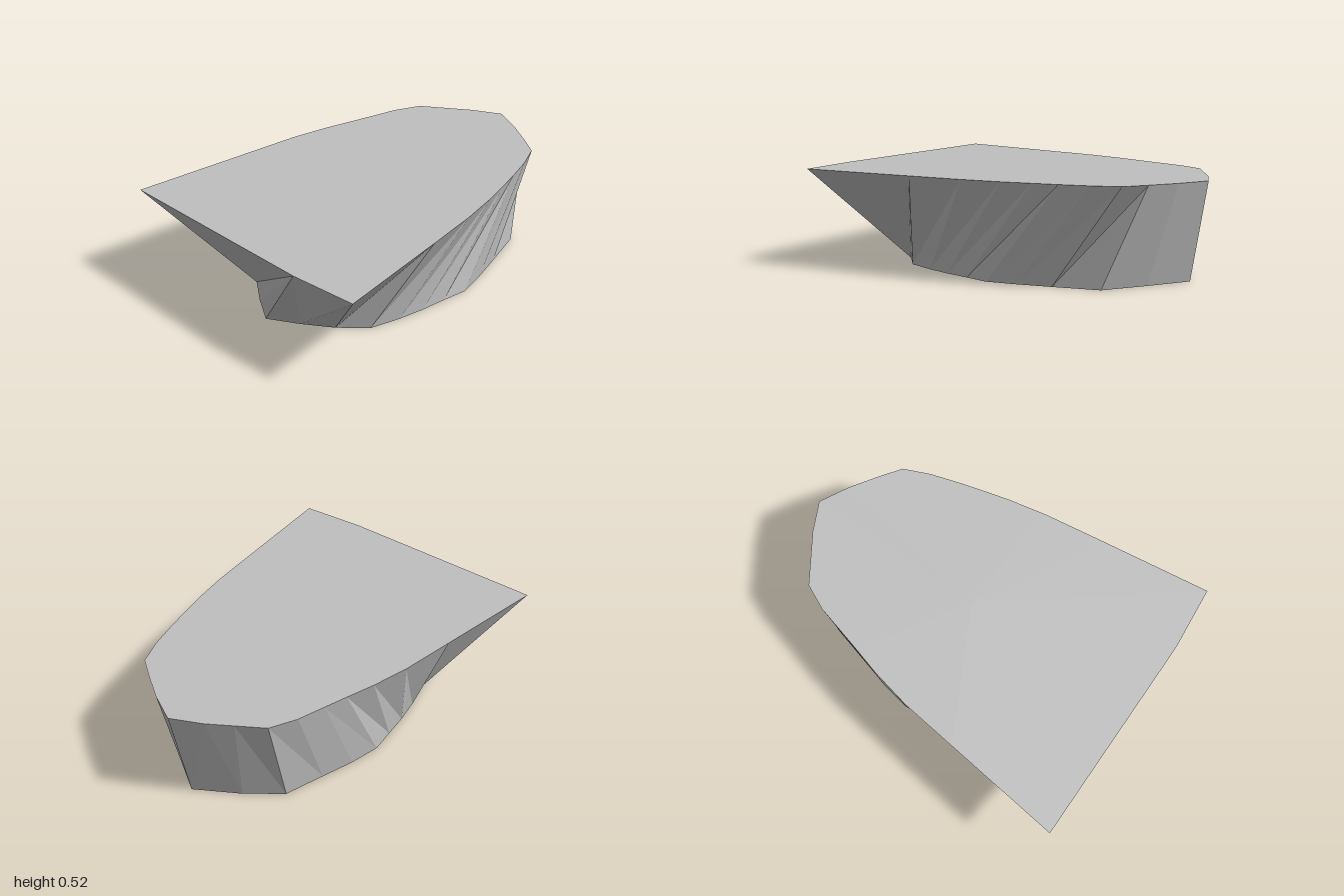
import * as THREE from 'three';

const HEIGHT = 0.52;

// Both outlines run from the tip, along the back, round the blunt end and home along the front.
const LOWER = [
  [0.9, -0.02], [0.76, -0.24], [0.62, -0.41], [0.4, -0.47], [0.22, -0.52], [0.05, -0.55],
  [-0.09, -0.53], [-0.23, -0.51], [-0.37, -0.48], [-0.53, -0.43], [-0.65, -0.3], [-0.75, -0.16],
  [-0.84, -0.01], [-0.75, 0.15], [-0.65, 0.3], [-0.53, 0.43], [-0.37, 0.48], [-0.23, 0.51],
  [-0.09, 0.53], [0.05, 0.555], [0.21, 0.52], [0.39, 0.47], [0.63, 0.4], [0.77, 0.19],
];
// The repeated corner gathers the blunt end's faces into a fan.
const UPPER = [
  [1, 0], [0.92, -0.16], [0.84, -0.28], [0.75, -0.415], [0.61, -0.48], [0.46, -0.52],
  [0.33, -0.555], [0.17, -0.6], [-0.04, -0.645], [-0.36, -0.685], [-1, -0.765], [-1, 0.4],
  [-1, 0.4], [-1, 0.4], [-0.97, 0.755], [-0.34, 0.675], [-0.04, 0.635], [0.17, 0.595],
  [0.33, 0.555], [0.46, 0.52], [0.61, 0.475], [0.75, 0.415], [0.83, 0.3], [0.92, 0.16],
];

const ring = (outline, y) => outline.map(([x, z]) => new THREE.Vector3(x, y, z));

// Unshared corners give every facet its own flat normal.
function facets(name, triangles, material) {
  const solid = triangles.filter(([a, b, c]) => new THREE.Triangle(a, b, c).getArea() > 1e-6);
  const geometry = new THREE.BufferGeometry().setFromPoints(solid.flat());
  geometry.computeVertexNormals();
  const mesh = new THREE.Mesh(geometry, material);
  mesh.name = name;
  return mesh;
}

export function createModel() {
  const group = new THREE.Group();
  group.name = 'facetedBlock';
  const stone = new THREE.MeshStandardMaterial({ color: 0xbfbfbf });
  stone.name = 'light grey';

  const low = ring(LOWER, 0);
  const high = ring(UPPER, HEIGHT);
  const lowCentre = new THREE.Vector3(0, 0, 0);
  const highCentre = new THREE.Vector3(0, HEIGHT, 0);
  const sides = [], top = [], base = [];

  low.forEach((a, i) => {
    const j = (i + 1) % low.length;
    sides.push([a, high[j], high[i]], [a, low[j], high[j]]);
    top.push([highCentre, high[i], high[j]]);
    base.push([lowCentre, low[j], a]);
  });

  group.add(
    facets('slopingSides', sides, stone),
    facets('topFace', top, stone),
    facets('baseFace', base, stone),
  );
  return group;
}
